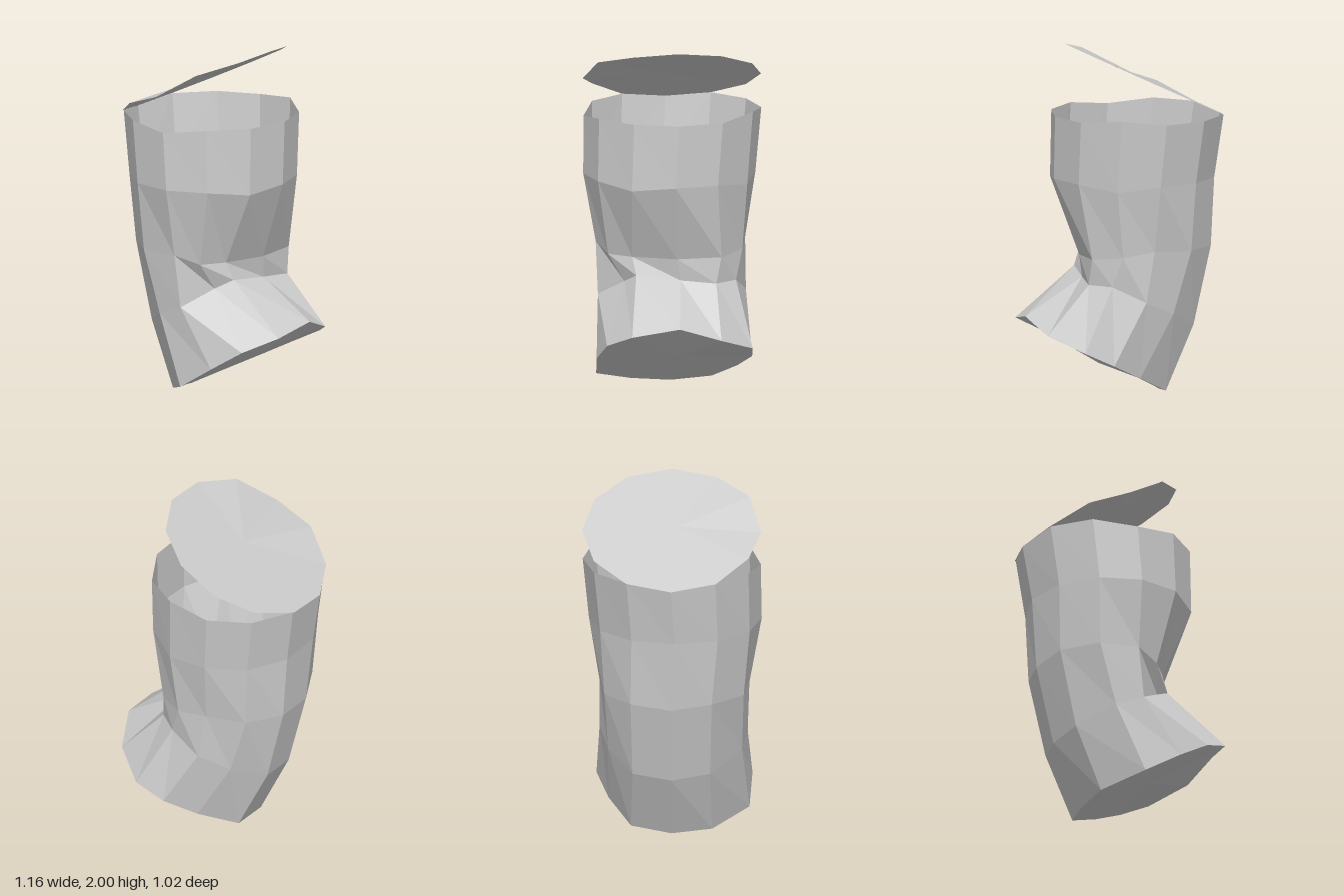
import * as THREE from 'three';

const SIDES = 12;
const material = new THREE.MeshStandardMaterial({ color: 0xcccccc, flatShading: true, side: THREE.DoubleSide });

// Slightly dented ellipse; points run from +x (left) through +z (front).
// rise tilts the ring along x, dents = { index: height offset }
function ring(center, rx, rz, rise, dents = {}) {
  return Array.from({ length: SIDES }, (_, k) => {
    const a = (k / SIDES) * Math.PI * 2;
    return [
      center[0] + rx * Math.cos(a),
      center[1] + rise * Math.cos(a) + (dents[k] || 0),
      center[2] + rz * Math.sin(a),
    ];
  });
}

function mesh(name, positions) {
  const geometry = new THREE.BufferGeometry();
  geometry.setAttribute('position', new THREE.Float32BufferAttribute(positions, 3));
  geometry.computeVertexNormals();
  const result = new THREE.Mesh(geometry, material);
  result.name = name;
  return result;
}

// Wall through a stack of rings, listed from bottom to top
function wall(name, rings) {
  const out = [];
  for (let i = 0; i < rings.length - 1; i++) {
    const a = rings[i], b = rings[i + 1];
    for (let k = 0; k < SIDES; k++) {
      const n = (k + 1) % SIDES;
      out.push(...a[k], ...b[k], ...b[n], ...a[k], ...b[n], ...a[n]);
    }
  }
  return mesh(name, out);
}

// Disc as a triangle fan around a centre point
function fan(name, points, center, faceUp) {
  const out = [];
  points.forEach((p, k) => {
    const q = points[(k + 1) % SIDES];
    out.push(...center, ...(faceUp ? q : p), ...(faceUp ? p : q));
  });
  return mesh(name, out);
}

export function createModel() {
  const group = new THREE.Group();
  group.name = 'crushedCan';

  // Kicked-out base
  const base = [
    [0.58, 0.46, 0.01], [0.545, 0.41, 0.28], [0.38, 0.33, 0.41], [0.2, 0.22, 0.455],
    [-0.015, 0.09, 0.44], [-0.2, 0.02, 0.23], [-0.225, 0, 0], [-0.18, 0.03, -0.23],
    [0.02, 0.13, -0.36], [0.2, 0.22, -0.43], [0.37, 0.3, -0.42], [0.53, 0.38, -0.23],
  ];
  // Lower edge of the crease
  const bend = [
    [0.25, 0.675, -0.02], [0.21, 0.7, 0.23], [0.12, 0.65, 0.29], [-0.02, 0.55, 0.43],
    [-0.18, 0.49, 0.4], [-0.35, 0.4, 0.22], [-0.395, 0.375, 0], [-0.35, 0.4, -0.22],
    [-0.18, 0.49, -0.36], [0, 0.57, -0.41], [0.18, 0.66, -0.34], [0.28, 0.66, -0.22],
  ];
  // Upper edge of the crease
  const waist = [
    [0.26, 0.8, 0], [0.17, 0.8, 0.25], [0.08, 0.8, 0.38], [-0.055, 0.85, 0.44],
    [-0.28, 0.85, 0.41], [-0.45, 0.85, 0.23], [-0.5, 0.83, 0], [-0.45, 0.85, -0.23],
    [-0.28, 0.85, -0.38], [-0.05, 0.86, -0.41], [0.13, 0.83, -0.38], [0.27, 0.81, -0.25],
  ];
  const shoulder = ring([-0.065, 1.24, 0.02], 0.47, 0.49, 0, { 1: -0.025, 10: -0.03 });
  const rim = ring([-0.09, 1.6, 0], 0.495, 0.505, 0, { 3: -0.03, 6: -0.03, 10: 0.025 });
  group.add(wall('body', [base, bend, waist, shoulder, rim]));
  group.add(fan('bottom', base, [0.18, 0.22, 0], false));

  // Opened lid, still attached to the right side of the rim
  const lid = ring([-0.135, 1.785, 0], 0.45, 0.507, 0.215, { 2: 0.02, 3: -0.01, 4: 0.02 });
  group.add(fan('lid', lid, [-0.11, 1.8, 0.03], true));

  return group;
}
